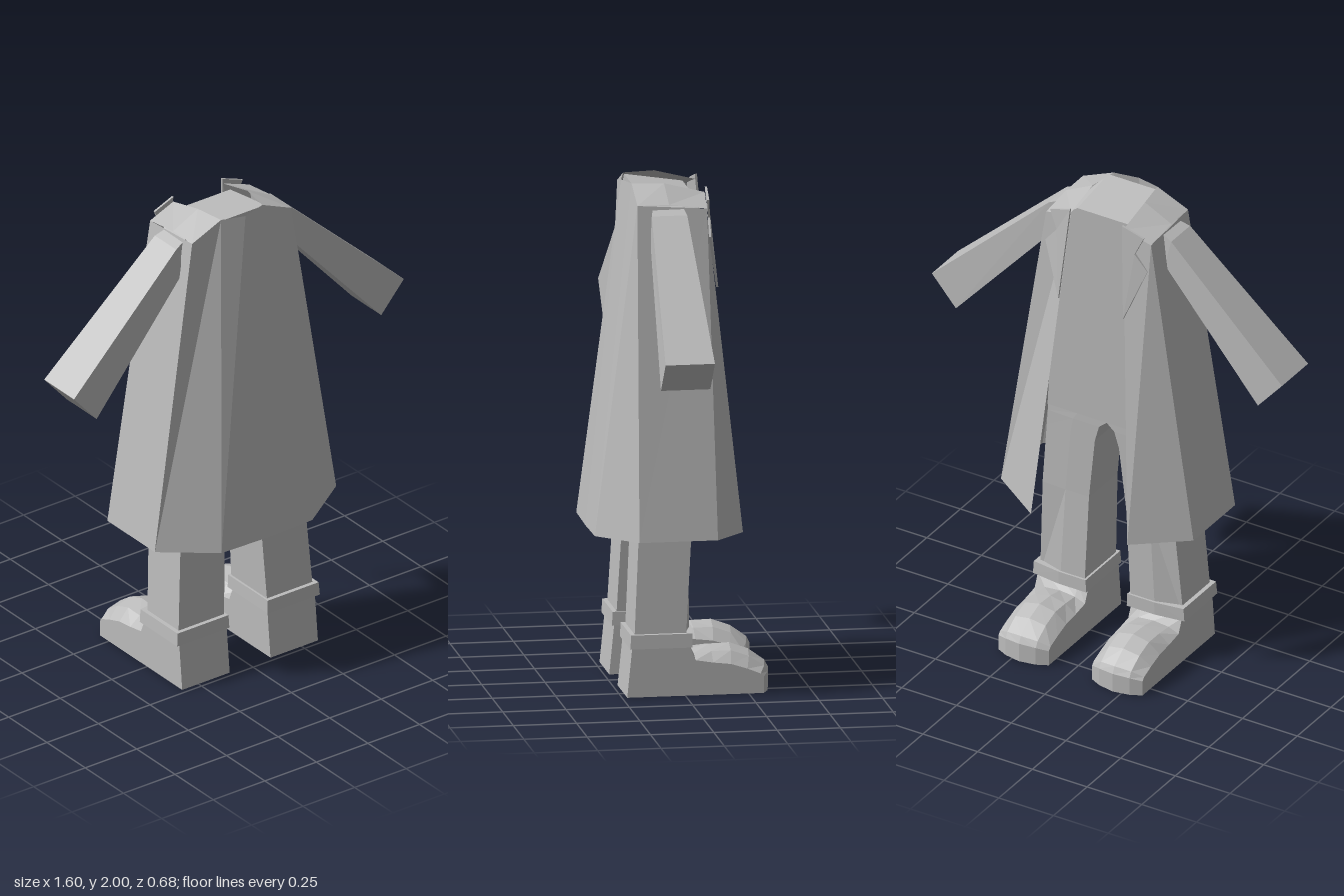
import * as THREE from 'three';
import { mergeGeometries } from 'three/addons/utils/BufferGeometryUtils.js';

const cloth = new THREE.MeshStandardMaterial({ color: 0xbcbcbc, side: THREE.DoubleSide });
cloth.name = 'plain grey';

// Joins rows of points into a faceted surface, facing away from a reference point.
function loft(rows, { closed = true, caps = true, ref = null } = {}) {
  const tris = [];
  const n = rows[0].length;
  for (let r = 0; r + 1 < rows.length; r++) {
    for (let i = 0; i < (closed ? n : n - 1); i++) {
      const j = (i + 1) % n;
      const [a, b, c, d] = [rows[r][i], rows[r][j], rows[r + 1][j], rows[r + 1][i]];
      tris.push([a, b, c], [a, c, d]);
    }
  }
  if (closed && caps) {
    const first = rows[0], last = rows[rows.length - 1];
    for (let i = 1; i < n - 1; i++) {
      tris.push([first[0], first[i + 1], first[i]], [last[0], last[i], last[i + 1]]);
    }
  }
  const geo = new THREE.BufferGeometry();
  const build = () => geo.setAttribute('position', new THREE.Float32BufferAttribute(tris.flat(2), 3));
  build();
  geo.computeBoundingBox();
  const centre = ref ? new THREE.Vector3(...ref) : geo.boundingBox.getCenter(new THREE.Vector3());
  let facing = 0;
  for (const t of tris) {
    const [a, b, c] = t.map((p) => new THREE.Vector3(...p).sub(centre));
    facing += a.dot(b.cross(c));
  }
  if (facing < 0) {
    tris.forEach((t) => t.reverse());
    build();
  }
  geo.computeVertexNormals();
  return geo;
}

const flip = (s) => ([x, y, z]) => [x * s, y, z];
const mirrorRows = (rows, s) => rows.map((row) => row.map(flip(s)));

// Coat outline from the open edge round to the middle of the closed side.
const coatTop = [[0.12, 1.96, -0.11], [0.24, 1.92, -0.1], [0.24, 1.94, 0.175], [0.1, 2, 0.175], [0, 1.995, 0.2]];
const coatHem = [[0.22, 0.62, -0.245], [0.44, 0.64, -0.11], [0.44, 0.64, 0.2], [0.22, 0.625, 0.34], [0, 0.62, 0.34]];
const wholeRow = (half) => [...half, ...half.slice(0, -1).reverse().map(flip(-1))];

// Point on the open front panel: u across from the edge, v down from the shoulder.
function onPanel(u, v, lift) {
  const mix = (a, b, t) => a.map((q, k) => q + (b[k] - q) * t);
  const p = mix(mix(coatTop[0], coatHem[0], v), mix(coatTop[1], coatHem[1], v), u);
  p[2] -= lift;
  return p;
}

function lapel(s) {
  const outline = [[0, -0.015], [0.8, -0.015], [0.42, 0.055], [0.8, 0.095], [0, 0.28]];
  const front = outline.map(([u, v]) => onPanel(u, v, 0.012));
  const back = outline.map(([u, v]) => onPanel(u, v, 0.003));
  // Fan starts at the notch so that the concave outline fills correctly.
  const turn = (row) => [...row.slice(2), ...row.slice(0, 2)];
  return loft(mirrorRows([turn(back), turn(front)], s));
}

function shoulder(s) {
  const inner = [[0.12, 1.96, -0.11], [0.12, 2, 0.05], [0.1, 2, 0.175]];
  const outer = [[0.24, 1.92, -0.1], [0.24, 1.94, 0.05], [0.24, 1.94, 0.175]];
  return loft(mirrorRows([inner, outer], s), { closed: false, ref: [0, 1.3, 0.05] });
}

// Sleeve cross-sections, each with a top edge and a bottom edge.
function sleeve(s) {
  const section = (xt, yt, xb, yb, back, front) => [
    [xt, yt, back], [xt, yt, front], [xb, yb, front], [xb, yb, back]];
  return loft(mirrorRows([
    section(0.22, 1.93, 0.22, 1.82, 0.11, -0.005),
    section(0.28, 1.905, 0.25, 1.79, 0.125, -0.015),
    section(0.8, 1.425, 0.69, 1.3, 0.157, -0.038),
  ], s));
}

// Five-sided trouser section with a slanted outer front face.
const legRow = (y, inner, outer, front, frontOuter, back) => [
  [inner, y, front], [(inner + outer) / 2, y, front], [outer, y, frontOuter], [outer, y, back], [inner, y, back]];

function leg(s) {
  return loft(mirrorRows([
    legRow(1.0, 0.0, 0.27, -0.04, -0.035, 0.17),
    legRow(0.97, 0.035, 0.272, -0.04, -0.035, 0.17),
    legRow(0.9, 0.055, 0.278, -0.038, -0.033, 0.172),
    legRow(0.63, 0.085, 0.3, -0.033, -0.028, 0.18),
    legRow(0.19, 0.107, 0.328, -0.033, 0, 0.203),
  ], s));
}

function cuff(s) {
  return loft(mirrorRows([
    legRow(0.25, 0.095, 0.342, -0.042, -0.025, 0.217),
    legRow(0.195, 0.093, 0.346, -0.042, -0.025, 0.22),
  ], s));
}

// Shoe sections from heel to toe: z, height, squareness of the top, toe curve.
function shoe(s) {
  const w = 0.115, cx = 0.214;
  const stations = [
    [0.23, 0, 1, 0], [0.21, 0.2, 1, 0], [-0.015, 0.2, 1, 0], [-0.04, 0.165, 0.85, 0],
    [-0.11, 0.178, 0.72, 0], [-0.19, 0.182, 0.66, 0.01], [-0.265, 0.155, 0.64, 0.02],
    [-0.33, 0.108, 0.72, 0.033], [-0.344, 0.08, 0.8, 0.035], [-0.344, 0, 1, 0.035]];
  const rows = stations.map(([z, h, sq, curve]) => {
    const top = [1, 0.6, 0, -0.6, -1].map((u) => {
      const y = h * (1 - (1 - sq) * Math.pow(Math.abs(u), 2.5));
      return [cx + u * w, y, z + curve * u * u];
    });
    const sole = [-1, -0.6, 0, 0.6, 1].map((u) => [cx + u * w, 0, z + curve * u * u]);
    return [...top, ...sole];
  });
  return loft(mirrorRows(rows, s));
}

function torso() {
  const row = (w, yFront, yBack, front, back) => [
    [w, yFront, front], [-w, yFront, front], [-w, yBack, back], [w, yBack, back]];
  return loft([
    row(0.12, 1.955, 1.99, -0.062, 0.168),
    row(0.21, 1.89, 1.89, -0.06, 0.168),
    row(0.27, 1.0, 1.0, -0.04, 0.17),
  ]);
}

export function createModel() {
  const model = new THREE.Group();
  model.name = 'longCoatOutfit';
  const add = (name, geo) => {
    const mesh = new THREE.Mesh(geo, cloth);
    mesh.name = name;
    model.add(mesh);
  };

  // Coat shell with both shoulders
  const shell = loft([wholeRow(coatTop), wholeRow(coatHem)], { closed: false, ref: [0, 1.3, 0.05] });
  add('coat', mergeGeometries([shell, shoulder(1), shoulder(-1)]));
  add('torso', torso());

  // Paired parts
  for (const [side, s] of [['left', 1], ['right', -1]]) {
    add(side + 'Lapel', lapel(s));
    add(side + 'Sleeve', sleeve(s));
    add(side + 'TrouserLeg', leg(s));
    add(side + 'TrouserCuff', cuff(s));
    add(side + 'Shoe', shoe(s));
  }
  return model;
}
